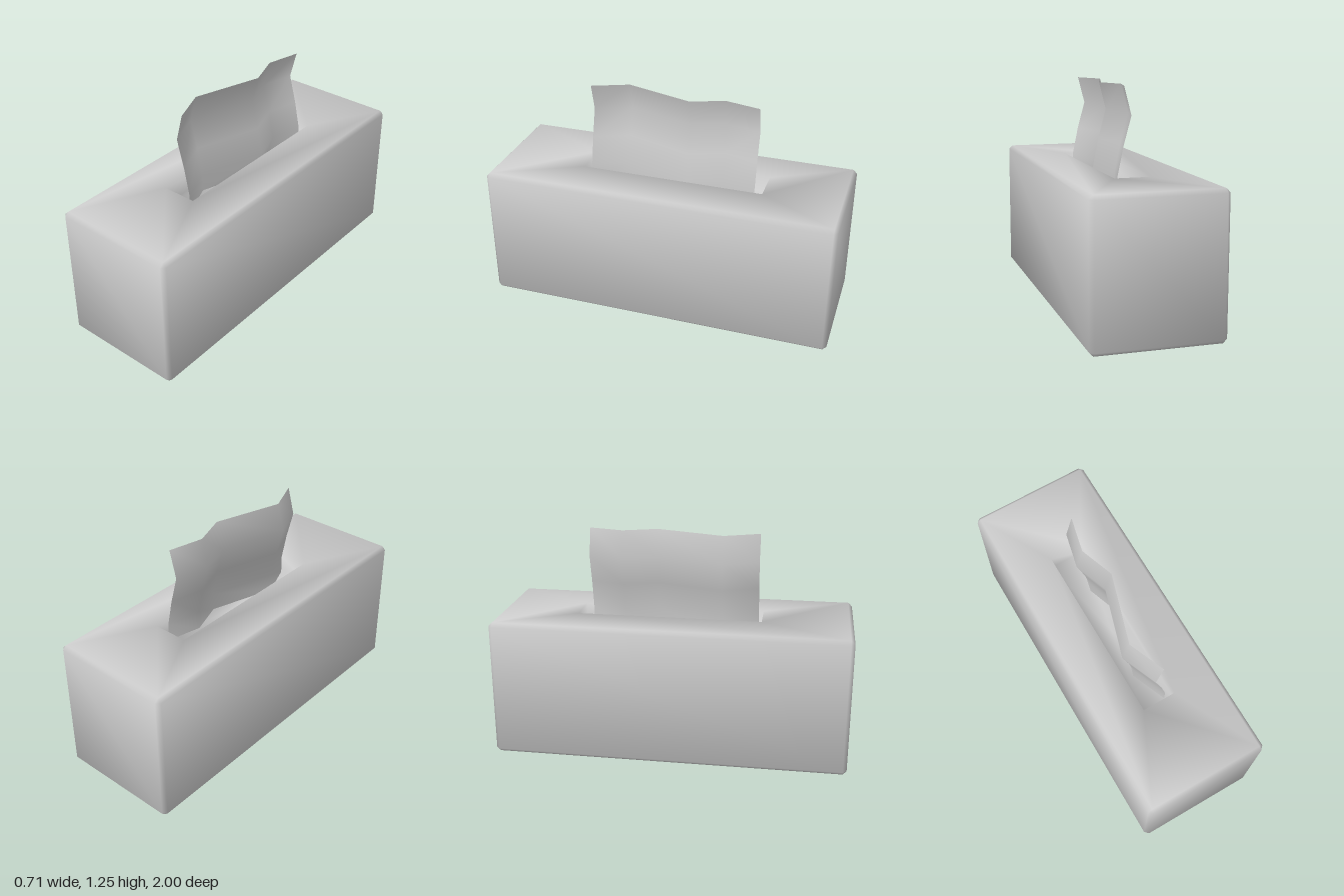
import * as THREE from 'three';
import { mergeVertices } from 'three/addons/utils/BufferGeometryUtils.js';

// Soft normals: every face around a point counts equally
function softNormals(geometry) {
  geometry.deleteAttribute('uv');
  geometry.deleteAttribute('normal');
  const g = mergeVertices(geometry, 1e-4);
  const pos = g.attributes.position;
  const index = Array.from(g.index.array);
  const sums = Array.from({ length: pos.count }, () => new THREE.Vector3());
  const kept = [];
  const tri = new THREE.Triangle();
  const n = new THREE.Vector3();
  for (let i = 0; i < index.length; i += 3) {
    const abc = index.slice(i, i + 3);
    if (new Set(abc).size < 3) continue; // collapsed corner
    tri.setFromAttributeAndIndices(pos, ...abc);
    if (tri.getArea() < 1e-9) continue;
    tri.getNormal(n);
    abc.forEach((v) => sums[v].add(n));
    kept.push(...abc);
  }
  g.setIndex(kept);
  const normals = sums.flatMap((v) => v.normalize().toArray());
  g.setAttribute('normal', new THREE.Float32BufferAttribute(normals, 3));
  return g;
}

// Rectangular ring with cut corners, running from +x towards +z
function ring({ x, z, y, cut = 0, shift = 0 }) {
  const plan = [
    [x, z - cut], [x - cut, z], [cut - x, z], [-x, z - cut],
    [-x, cut - z], [cut - x, -z], [x - cut, -z], [x, cut - z],
  ];
  return plan.flatMap(([px, pz]) => [px, y, pz + shift]);
}

// Skin a list of eight-point rings
function skin(rings) {
  const index = [];
  for (let r = 0; r < rings.length - 1; r++) {
    for (let i = 0; i < 8; i++) {
      const j = (i + 1) % 8;
      const a = r * 8, b = a + 8;
      index.push(a + i, a + j, b + i, a + j, b + j, b + i);
    }
  }
  const g = new THREE.BufferGeometry();
  g.setAttribute('position', new THREE.Float32BufferAttribute(rings.flatMap(ring), 3));
  g.setIndex(index);
  return softNormals(g);
}

export function createModel() {
  const model = new THREE.Group();

  // Carton: from the slot floor, over the chamfered outside, to the underside
  const W = 0.357, L = 1, H = 0.783, C = 0.022;
  const slot = { x: 0.098, z: 0.52, shift: -0.025 };
  const floorY = 0.68;
  const carton = new THREE.Mesh(
    skin([
      { x: 0, z: 0, y: floorY, shift: slot.shift },
      { ...slot, y: floorY },
      { ...slot, y: H },
      { x: W - C, z: L - C, y: H },
      { x: W, z: L, y: H - C, cut: C },
      { x: W, z: L, y: C, cut: C },
      { x: W - C, z: L - C, y: 0 },
      { x: 0, z: 0, y: 0 },
    ]),
    new THREE.MeshStandardMaterial({ color: 0xcccccc }),
  );
  carton.name = 'carton';

  // Tissue: a bent upright profile [x, y] repeated along a zigzag fold [x, z]
  const profile = [[-0.03, floorY], [-0.03, H], [-0.062, 0.94], [-0.105, 1.1], [-0.065, 1.253]];
  const folds = [[0.082, 0.47], [0, 0.27], [0.117, -0.11], [0.05, -0.3], [0.095, -0.495]];
  const sheet = new THREE.PlaneGeometry(1, 1, folds.length - 1, profile.length - 1);
  const pos = sheet.attributes.position;
  profile.forEach(([px, y], row) => {
    folds.forEach(([fx, z], col) => {
      const v = (profile.length - 1 - row) * folds.length + col;
      pos.setXYZ(v, px + fx, y, z);
    });
  });
  const tissue = new THREE.Mesh(
    softNormals(sheet),
    new THREE.MeshStandardMaterial({ color: 0xcccccc, side: THREE.DoubleSide }),
  );
  tissue.name = 'tissue';

  model.add(carton, tissue);
  return model;
}
